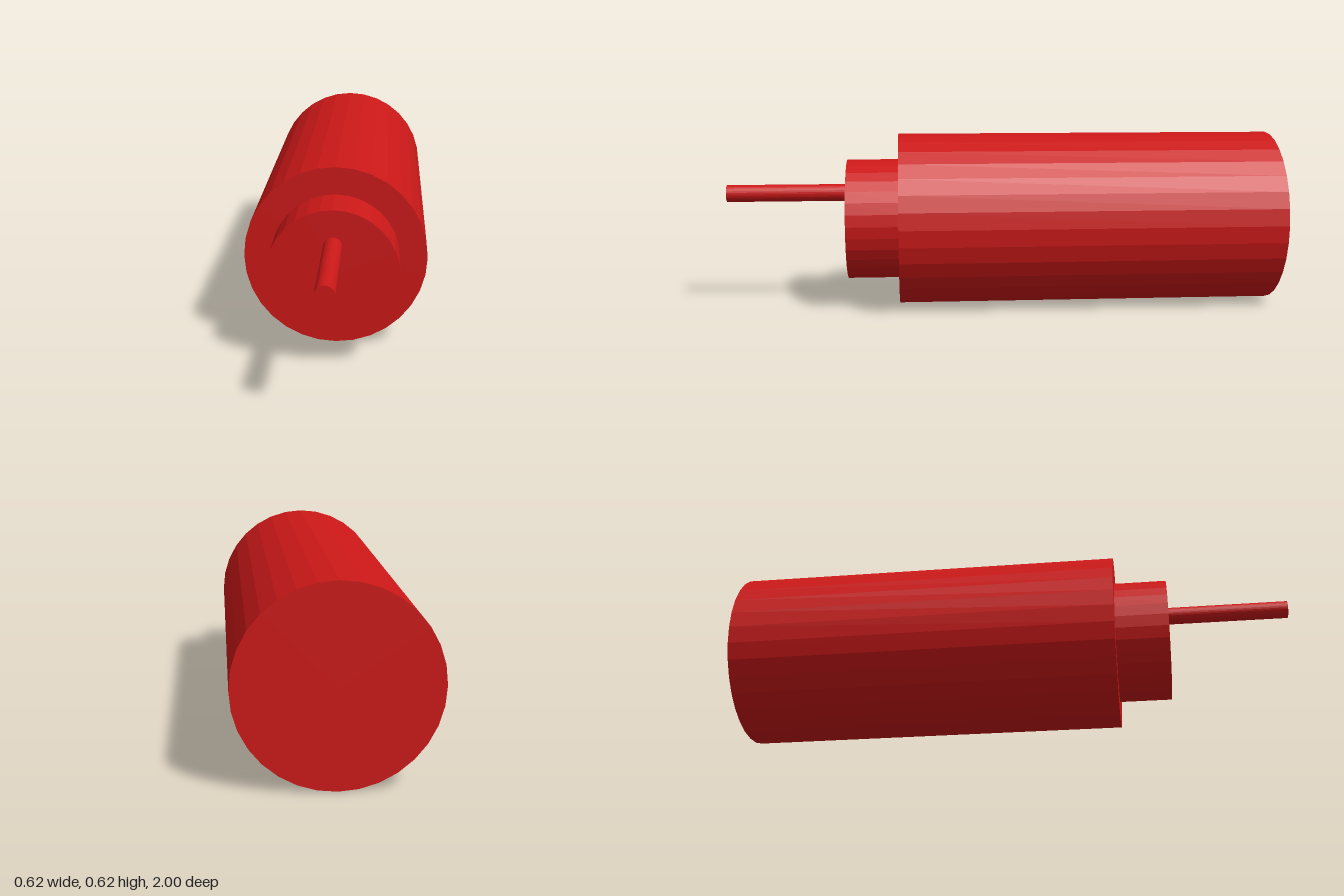
import * as THREE from 'three';

export function createModel() {
  const group = new THREE.Group();
  const red = new THREE.MeshStandardMaterial({ color: 0xcc1818, flatShading: true });

  // Capped cylinder lying along z, from z0 (back) to z1 (front)
  function rod(name, radius, y, z0, z1) {
    const geometry = new THREE.CylinderGeometry(radius, radius, z1 - z0, 32);
    geometry.rotateX(Math.PI / 2);
    const mesh = new THREE.Mesh(geometry, red);
    mesh.name = name;
    mesh.position.set(0, y, (z0 + z1) / 2);
    group.add(mesh);
  }

  rod('motorBody', 0.3125, 0.3125, -1, 0.375);
  rod('frontCollar', 0.219, 0.3125, 0.375, 0.5625);
  // Output shaft sits above the body's axis
  rod('offsetShaft', 0.031, 0.41, 0.5625, 1);

  return group;
}
